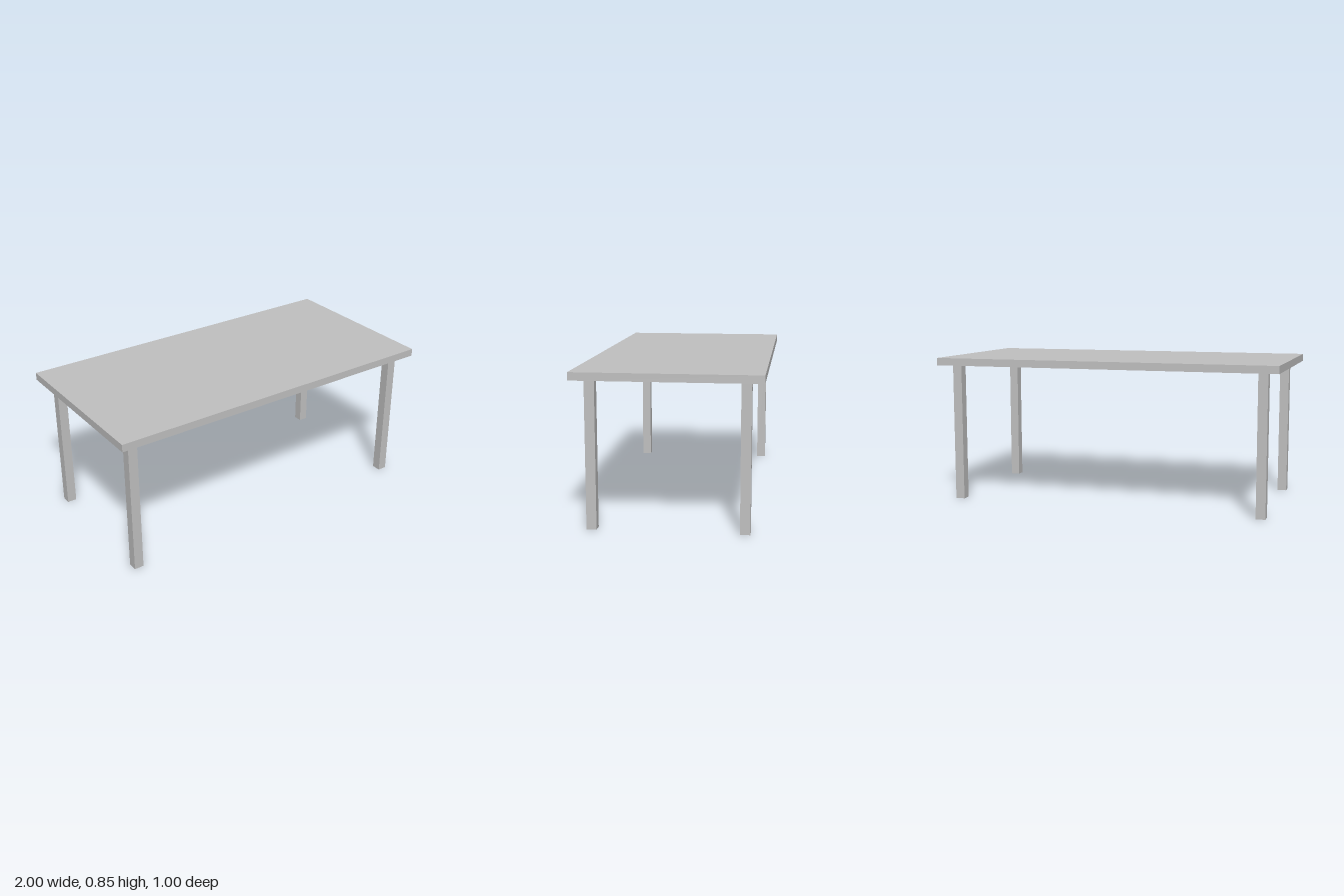
import * as THREE from 'three';

export function createModel() {
  const table = new THREE.Group();
  table.name = 'table';
  const grey = new THREE.MeshStandardMaterial({ color: 0xc0c0c0 });
  grey.name = 'light grey';

  const topY = 0.845, topThickness = 0.043;
  const legHeight = topY - topThickness, legWidth = 0.054;

  // Flat slab top
  const top = new THREE.Mesh(new THREE.BoxGeometry(2, topThickness, 1), grey);
  top.name = 'tableTop';
  top.position.y = topY - topThickness / 2;
  table.add(top);

  // Four square legs, inset from the corners
  const legGeometry = new THREE.BoxGeometry(legWidth, legHeight, legWidth);
  for (const [sx, side] of [[1, 'Left'], [-1, 'Right']]) {
    for (const [sz, end] of [[1, 'front'], [-1, 'back']]) {
      const leg = new THREE.Mesh(legGeometry, grey);
      leg.name = `${end}${side}Leg`;
      leg.position.set(sx * 0.905, legHeight / 2, sz * 0.405);
      table.add(leg);
    }
  }
  return table;
}
